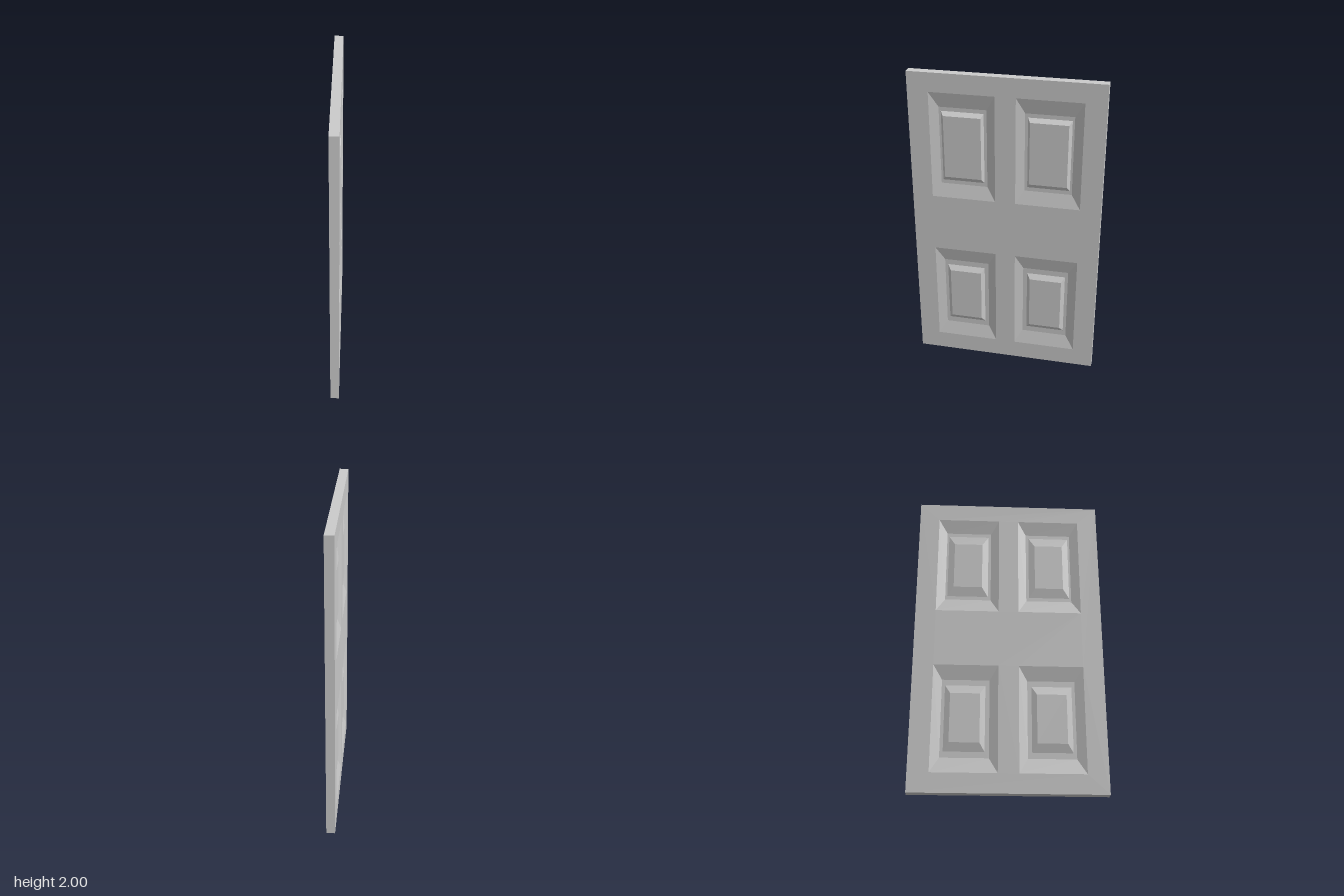
import * as THREE from 'three';

const T = 0.028; // half thickness
const W = 0.6; // half width
const H = 2;
const material = new THREE.MeshStandardMaterial({ color: 0xcccccc, flatShading: true });

// Rectangle in the door plane, at depth x
const rect = (z0, z1, y0, y1, x) =>
  [[z1, y0], [z0, y0], [z0, y1], [z1, y1]].map(([z, y]) => new THREE.Vector3(x, y, z));

// Joins successive rectangles with sloped bands; optionally closes the last one
function stepped(rings, cap) {
  const pts = [];
  const quad = (a, b, c, d) => pts.push(a, b, c, a, c, d);
  for (let r = 0; r < rings.length - 1; r++) {
    const a = rings[r], b = rings[r + 1];
    for (let i = 0; i < 4; i++) {
      const j = (i + 1) % 4;
      quad(a[i], a[j], b[j], b[i]);
    }
  }
  if (cap) quad(...rings[rings.length - 1]);
  const g = new THREE.BufferGeometry().setFromPoints(pts);
  g.computeVertexNormals();
  return g;
}

function mesh(name, geometry) {
  const m = new THREE.Mesh(geometry, material);
  m.name = name;
  return m;
}

// Panel rows: recess edge, recess floor, raised field base and top (z0, z1, y0, y1)
const rows = [
  {
    name: 'upper',
    edge: [0.064, 0.47, 1.19, 1.88], floor: [0.117, 0.413, 1.28, 1.785],
    base: [0.135, 0.4, 1.305, 1.76], top: [0.15, 0.383, 1.333, 1.735],
    shallowTop: [0.175, 0.36, 1.37, 1.695],
  },
  {
    name: 'lower',
    edge: [0.064, 0.47, 0.122, 0.81], floor: [0.117, 0.413, 0.217, 0.716],
    base: [0.143, 0.393, 0.255, 0.679], top: [0.164, 0.371, 0.286, 0.645],
    shallowTop: [0.175, 0.36, 0.31, 0.625],
  },
];

const mirrorZ = ([z0, z1, y0, y1]) => [-z1, -z0, y0, y1];

// One face of the door, facing +x
function doorFace(name, bold) {
  const face = new THREE.Group();
  face.name = name;

  const path = ([z0, z1, y0, y1]) =>
    rect(z0, z1, y0, y1, 0).map((p) => new THREE.Vector2(-p.z, p.y));
  const shape = new THREE.Shape(path([-W, W, 0, H]));

  const depth = T - 0.02;
  for (const row of rows) {
    for (const side of [1, -1]) {
      const at = (r, x) => rect(...(side > 0 ? r : mirrorZ(r)), x);
      shape.holes.push(new THREE.Path(path(side > 0 ? row.edge : mirrorZ(row.edge))));
      const rings = [
        at(row.edge, T),
        at(row.floor, depth),
        at(row.base, depth),
        bold ? at(row.top, T) : at(row.shallowTop, depth + 0.012),
      ];
      face.add(mesh(row.name + 'Panel', stepped(rings, true)));
    }
  }
  face.add(mesh('frame', new THREE.ShapeGeometry(shape).rotateY(Math.PI / 2).translate(T, 0, 0)));
  return face;
}

export function createModel() {
  const door = new THREE.Group();
  door.name = 'panelDoor';

  // Thin outer edge all round
  door.add(mesh('doorEdge', stepped([rect(-W, W, 0, H, -T), rect(-W, W, 0, H, T)], false)));

  // Bold raised panels on one face, shallow ones on the other
  door.add(doorFace('leftFace', true));
  const reverse = doorFace('rightFace', false);
  reverse.rotation.y = Math.PI;
  door.add(reverse);
  return door;
}
